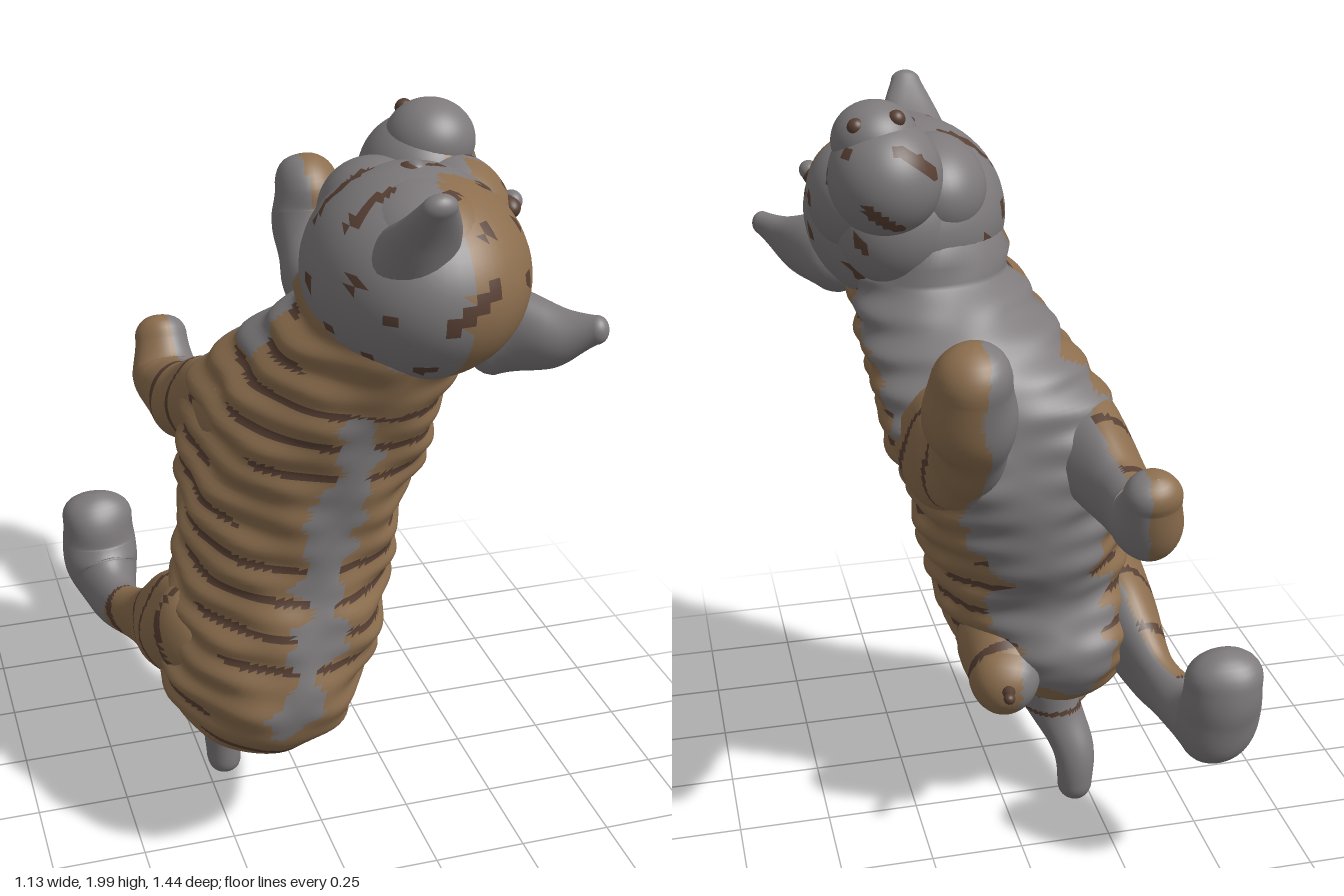
import * as THREE from 'three';

const V = (x, y, z) => new THREE.Vector3(x, y, z);
const mats = {
  tan: new THREE.MeshStandardMaterial({ color: 0x8c6e4e }),
  grey: new THREE.MeshStandardMaterial({ color: 0x7e7a7c }),
  dark: new THREE.MeshStandardMaterial({ color: 0x584034 }),
};

// Gentle lumps that make the fur look modelled by hand
const lump = (p) => 0.004 * (Math.sin(31 * p.x + 17 * p.y) + Math.sin(27 * p.z - 23 * p.y + 1));

// Rounded sweep through sections [x, y, z, a, b]; a and b are the half widths
function sweep(sections, { steps = 40, sides = 32, level = false, relief = lump } = {}) {
  const path = new THREE.CatmullRomCurve3(sections.map(([x, y, z]) => V(x, y, z)));
  const size = new THREE.CatmullRomCurve3(sections.map((s, i) => V(s[3], s[4] ?? s[3], i)));
  const rings = [];
  const add = (t, angle) => {
    const c = path.getPoint(t), s = size.getPoint(t);
    const T = level ? V(0, 1, 0) : path.getTangent(t);
    const A = V(1, 0, 0).addScaledVector(T, -T.x).normalize();
    const B = T.clone().cross(A);
    c.addScaledVector(T, Math.sin(angle) * Math.min(s.x, s.y));
    rings.push({ c, A, B, a: s.x * Math.cos(angle), b: s.y * Math.cos(angle) });
  };
  for (let k = 0; k < 8; k++) add(0, (-Math.PI / 2) * (1 - k / 8) + 1e-3);
  for (let i = 0; i <= steps; i++) add(i / steps, 0);
  for (let k = 1; k <= 8; k++) add(1, (Math.PI / 2) * (k / 8) - 1e-3);

  const pos = [], index = [];
  rings.forEach(({ c, A, B, a, b }, i) => {
    for (let j = 0; j < sides; j++) {
      const u = (j / sides) * Math.PI * 2;
      const d = A.clone().multiplyScalar(a * Math.cos(u)).addScaledVector(B, b * Math.sin(u));
      const p = c.clone().add(d);
      p.addScaledVector(d.normalize(), relief(p, d) * Math.min(1, a / 0.05));
      pos.push(p.x, p.y, p.z);
      if (i === rings.length - 1) continue;
      const k = (j + 1) % sides, q = i * sides, r = q + sides;
      index.push(q + j, q + k, r + k, q + j, r + k, r + j);
    }
  });
  const g = new THREE.BufferGeometry();
  g.setAttribute('position', new THREE.Float32BufferAttribute(pos, 3));
  g.setIndex(index);
  g.computeVertexNormals();
  return g;
}

// Ellipsoid
function blob(x, y, z, rx, ry = rx, rz = rx) {
  const g = new THREE.SphereGeometry(1, 48, 32);
  g.scale(rx, ry, rz).translate(x, y, z);
  return g;
}

// Splits a smooth surface into one mesh per fur colour
function painted(name, geometry, colourAt) {
  const group = new THREE.Group();
  group.name = name;
  const P = geometry.attributes.position, N = geometry.attributes.normal;
  const idx = geometry.index.array, lists = {};
  for (let i = 0; i < idx.length; i += 3) {
    const p = V(0, 0, 0), n = V(0, 0, 0), v = V(0, 0, 0);
    for (let k = 0; k < 3; k++) {
      p.add(v.fromBufferAttribute(P, idx[i + k]));
      n.add(v.fromBufferAttribute(N, idx[i + k]));
    }
    const c = colourAt(p.divideScalar(3), n.normalize());
    (lists[c] ??= []).push(idx[i], idx[i + 1], idx[i + 2]);
  }
  for (const [c, list] of Object.entries(lists)) {
    const part = geometry.clone();
    part.setIndex(list);
    const mesh = new THREE.Mesh(part.toNonIndexed(), mats[c]);
    mesh.name = `${name} ${c} fur`;
    group.add(mesh);
  }
  return group;
}

export function createModel() {
  const model = new THREE.Group();
  model.name = 'climbingCub';
  const solid = (name, geometry, colour) => {
    const mesh = new THREE.Mesh(geometry, mats[colour]);
    mesh.name = name;
    model.add(mesh);
  };

  // Leaning body with ridged stripes on its flanks and a broad, square chest
  const wave = (p) => Math.sin(p.y * 72 + 1.5 * Math.sin(p.z * 5) + 2 * Math.sin(p.x * 3));
  const chest = (p, d) => (d.z < 0 ? 0.3 * (d.x * d.z) ** 2 * Math.exp(-(((p.y - 1.2) / 0.2) ** 2)) : 0);
  const body = sweep([
    [-0.17, 0.33, 0.1, 0.1, 0.14],
    [-0.17, 0.37, 0.14, 0.17, 0.24],
    [-0.15, 0.45, 0.14, 0.24, 0.33],
    [-0.14, 0.56, 0.14, 0.27, 0.36],
    [-0.10, 0.70, 0.15, 0.275, 0.33],
    [-0.07, 0.85, 0.11, 0.275, 0.335],
    [-0.04, 1.00, 0.10, 0.275, 0.34],
    [0.0, 1.15, 0.12, 0.285, 0.345],
    [0.04, 1.30, 0.15, 0.275, 0.345],
    [0.09, 1.42, 0.21, 0.25, 0.32],
    [0.14, 1.55, 0.31, 0.22, 0.28],
  ], {
    steps: 150, sides: 80, level: true,
    relief: (p, d) => lump(p) + 0.011 * wave(p) * Math.abs(d.x) + chest(p, d),
  });
  model.add(painted('body', body, (p, n) => {
    if (n.z < -0.75 || n.z > 0.95) return 'grey';
    if (p.y > 1.1 && n.z < -0.35) return 'grey';
    if (p.y > 1.4 && p.z < 0.2) return 'grey';
    return wave(p) < -0.75 && Math.sin(p.z * 9 + p.y * 13) > -0.3 ? 'dark' : 'tan';
  }));

  // Limbs, from the body out to the paws
  const limbs = {
    leftForeleg: [[0.16, 1.21, 0.08, 0.13, 0.16], [0.185, 1.2, -0.14, 0.115, 0.165], [0.19, 1.25, -0.34, 0.09, 0.125],
      [0.19, 1.37, -0.52, 0.085, 0.105], [0.21, 1.47, -0.6, 0.105, 0.1], [0.21, 1.55, -0.62, 0.1, 0.095]],
    rightForeleg: [[-0.15, 1.18, 0.08, 0.13, 0.15], [-0.2, 1.14, -0.14, 0.11, 0.13], [-0.24, 1.085, -0.3, 0.085, 0.1],
      [-0.25, 1.07, -0.42, 0.078, 0.095], [-0.25, 1.1, -0.48, 0.085, 0.09], [-0.25, 1.18, -0.52, 0.075, 0.065]],
    rightHindLeg: [[-0.3, 0.63, 0.14, 0.14], [-0.345, 0.55, -0.02, 0.1, 0.14], [-0.385, 0.46, -0.2, 0.055, 0.09],
      [-0.435, 0.44, -0.33, 0.06, 0.08], [-0.455, 0.475, -0.46, 0.095, 0.105], [-0.46, 0.56, -0.505, 0.112, 0.09],
      [-0.46, 0.635, -0.505, 0.105, 0.085]],
    leftHindLeg: [[-0.05, 0.56, 0.08, 0.15], [0.0, 0.52, -0.06, 0.13], [0.025, 0.49, -0.14, 0.1]],
  };
  for (const [name, sections] of Object.entries(limbs)) {
    model.add(painted(name, sweep(sections, { steps: 80, sides: 40 }), (p, n) => {
      if (name === 'rightHindLeg' && p.z < -0.3) return 'grey';
      if (n.x * Math.sign(sections[0][0] + 0.06) < -0.2) return 'grey';
      return Math.sin(p.z * 36 + p.y * 12) > 0.9 && p.z > -0.5 ? 'dark' : 'tan';
    }));
  }
  solid('hindClaw', sweep([[0.03, 0.5, -0.2, 0.025], [0.04, 0.51, -0.27, 0.012], [0.05, 0.53, -0.31, 0.018]],
    { steps: 10, sides: 10 }), 'dark');

  // Short hanging tail
  model.add(painted('tail', sweep([[-0.13, 0.38, 0.03, 0.1], [-0.165, 0.28, 0.0, 0.07],
    [-0.195, 0.17, -0.045, 0.055], [-0.205, 0.06, -0.055, 0.052]]),
  (p) => (p.y > 0.24 && Math.sin(p.y * 90) > 0.8 ? 'dark' : 'grey')));

  // Head tipped back, with cheeks, muzzle and chin
  const headFur = (p, n) => {
    if (Math.sin(p.z * 38 + 6 * p.x) * Math.sin(p.y * 30 - p.x * 22) > 0.8) return 'dark';
    return n.z > 0.1 && n.x > 0.1 ? 'tan' : 'grey';
  };
  const headParts = {
    skull: [0.18, 1.66, 0.36, 0.265, 0.245, 0.315],
    brow: [0.17, 1.74, 0.42, 0.18, 0.16, 0.21],
    leftCheek: [0.31, 1.74, 0.25, 0.14, 0.15, 0.18],
    rightCheek: [0.13, 1.75, 0.23, 0.14, 0.14, 0.18],
    muzzle: [0.265, 1.81, 0.13, 0.145, 0.15, 0.16],
    chin: [0.23, 1.68, 0.16, 0.16, 0.16, 0.13],
  };
  for (const [name, e] of Object.entries(headParts)) model.add(painted(name, blob(...e), headFur));
  solid('nose', blob(0.285, 1.9, 0.15, 0.11, 0.1, 0.11), 'grey');
  for (const [x, y, z] of [[0.24, 1.965, 0.09], [0.34, 1.95, 0.09]]) {
    solid('nostril', blob(x, y, z, 0.022), 'dark');
  }

  // Eyes with dark rims
  for (const [side, x, y, z] of [['left', 0.42, 1.78, 0.32], ['right', 0.17, 1.88, 0.34]]) {
    solid(`${side}EyeRim`, blob(x, y, z, 0.03, 0.03, 0.05), 'dark');
    solid(`${side}Eye`, blob(x + 0.012, y + 0.01, z, 0.025, 0.025, 0.03), 'grey');
  }

  // Ears
  const ears = {
    rightEar: [[0.1, 1.72, 0.51, 0.11, 0.11], [0.115, 1.835, 0.61, 0.08, 0.055], [0.11, 1.925, 0.69, 0.04, 0.03]],
    leftEar: [[0.36, 1.52, 0.44, 0.09, 0.11], [0.455, 1.54, 0.54, 0.06, 0.075], [0.53, 1.57, 0.615, 0.03, 0.035]],
  };
  for (const [name, sections] of Object.entries(ears)) solid(name, sweep(sections, { steps: 20 }), 'grey');

  return model;
}
